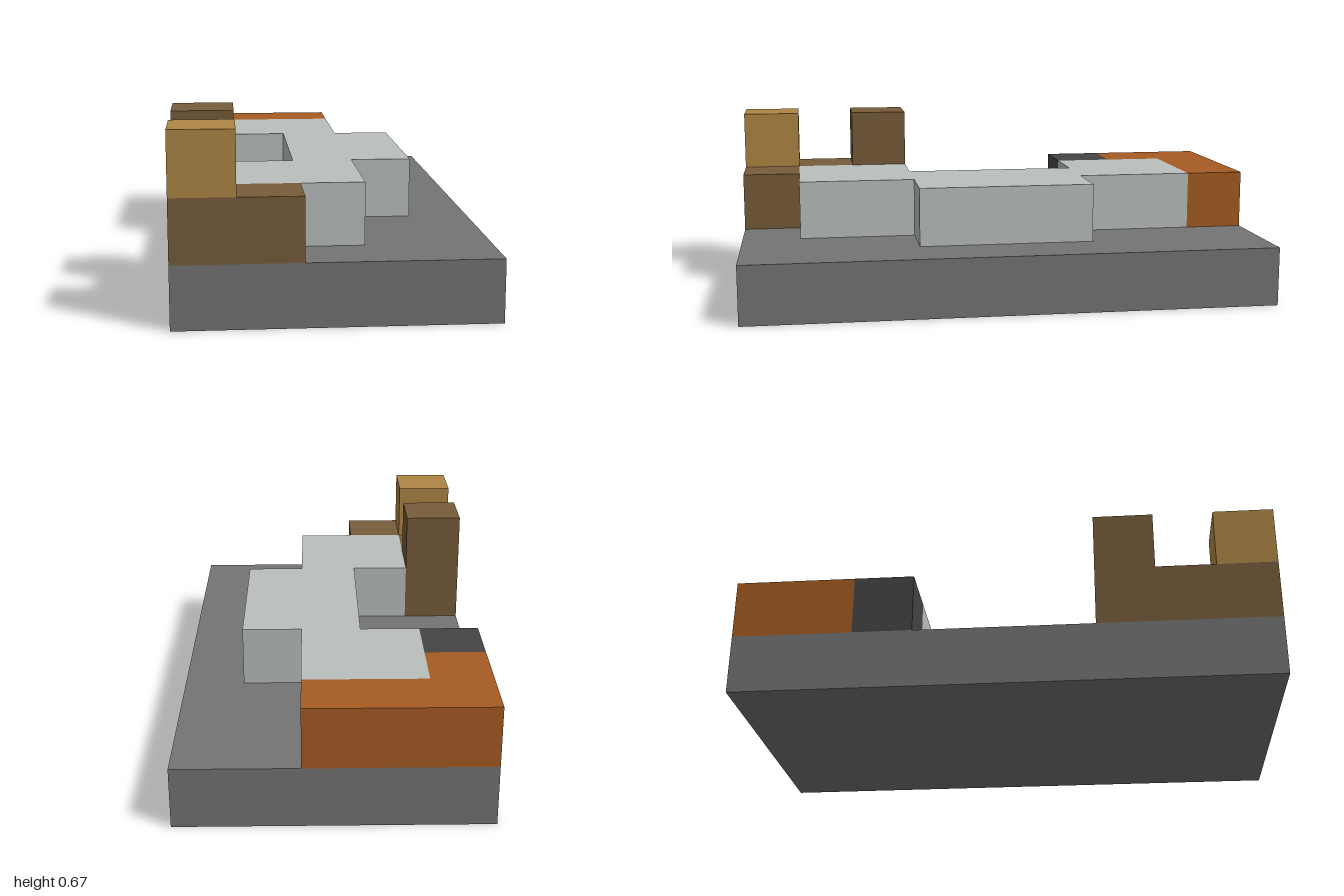
import * as THREE from 'three';

// Everything sits on a grid of 18 x 10 steps
const U = 1 / 9;

const material = (name, color) => {
  const m = new THREE.MeshStandardMaterial({ color });
  m.name = name;
  return m;
};

export function createModel() {
  const model = new THREE.Group();
  model.name = 'blockModel';

  const stone = material('stone grey', 0x747474);
  const paleGrey = material('pale grey', 0xbabfbe);
  const brown = material('wood brown', 0x775c3a);
  const tan = material('tan', 0xaf8644);
  const orange = material('burnt orange', 0xa65b22);
  const charcoal = material('charcoal', 0x454545);

  // Flat-topped block from an x/z outline, between two heights (grid steps)
  function slab(name, mat, outline, bottom, top) {
    const shape = new THREE.Shape(outline.map(([x, z]) => new THREE.Vector2(x * U, z * U)));
    const geometry = new THREE.ExtrudeGeometry(shape, { depth: (top - bottom) * U, bevelEnabled: false });
    geometry.rotateX(Math.PI / 2).translate(0, top * U, 0);
    const mesh = new THREE.Mesh(geometry, mat);
    mesh.name = name;
    model.add(mesh);
  }

  // Box from its x, y and z ranges (grid steps)
  function block(name, mat, [x0, x1], [y0, y1], [z0, z1]) {
    const mesh = new THREE.Mesh(
      new THREE.BoxGeometry((x1 - x0) * U, (y1 - y0) * U, (z1 - z0) * U), mat);
    mesh.position.set((x0 + x1) * U / 2, (y0 + y1) * U / 2, (z0 + z1) * U / 2);
    mesh.name = name;
    model.add(mesh);
  }

  block('base', stone, [-5, 5], [0, 2], [-9, 9]);

  // Pale path that bends out to the left in the middle
  slab('path', paleGrey, [
    [-3, -7], [1, -7], [1, -3], [3, -3], [3, 3], [1, 3],
    [1, 7], [-3, 7], [-3, 3], [-1, 3], [-1, -3], [-3, -3],
  ], 2, 4);

  // Front corner: wooden ledge, post and tan cap
  slab('frontLedge', brown, [[-5, 3], [-3, 3], [-3, 7], [-1, 7], [-1, 9], [-5, 9]], 2, 4);
  block('post', brown, [-5, -3], [4, 6], [3, 5]);
  block('cornerCap', tan, [-5, -3], [4, 6], [7, 9]);

  // Back corner: orange ledge ending in a dark block
  slab('backLedge', orange, [[-5, -9], [1, -9], [1, -7], [-3, -7], [-3, -5], [-5, -5]], 2, 4);
  block('darkBlock', charcoal, [-5, -3], [2, 4], [-5, -3]);

  return model;
}
